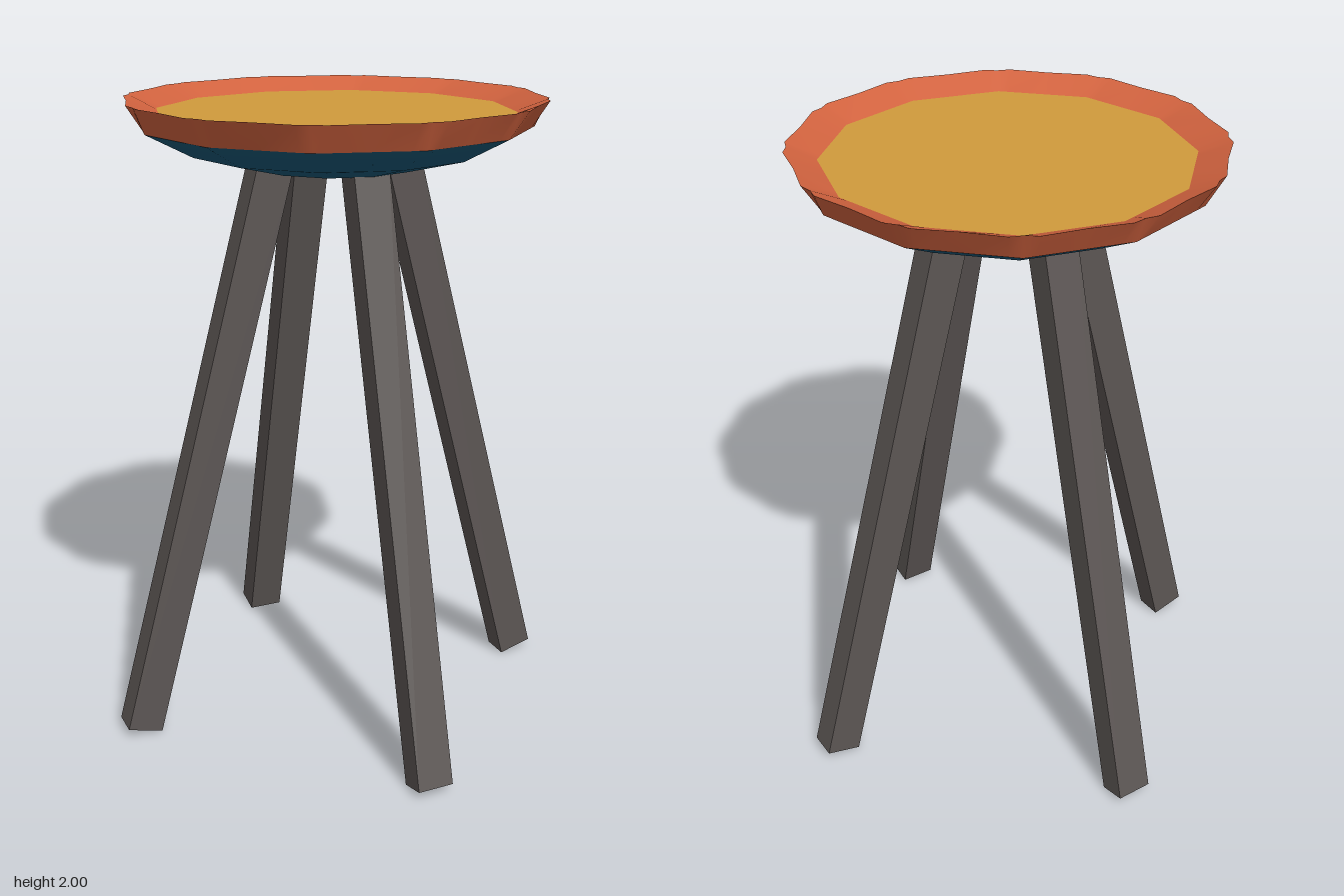
import * as THREE from 'three';
import { toCreasedNormals } from 'three/addons/utils/BufferGeometryUtils.js';

const SIDES = 12;
const SECTOR = (Math.PI * 2) / SIDES;

// Rim outline inside one sector: [angle in degrees, radius at the flared lip]
const LIP = [[0, 0.635], [3.6, 0.643], [15, 0.625], [26.4, 0.643]];

const paint = (name, color) => {
  const m = new THREE.MeshStandardMaterial({ color });
  m.name = name;
  return m;
};

function part(name, geometry, material) {
  const mesh = new THREE.Mesh(geometry, material);
  mesh.name = name;
  return mesh;
}

// Radius of a regular polygon at an angle within its sector
const polygonRadius = (r, a) => (r * Math.cos(SECTOR / 2)) / Math.cos(SECTOR / 2 - a);

// Flared ring: outer wall, lip and sloping inner wall
function rimGeometry() {
  const rings = [[], [], []];
  for (let s = 0; s < SIDES; s++) {
    for (const [deg, lip] of LIP) {
      const local = THREE.MathUtils.degToRad(deg);
      const a = s * SECTOR + local;
      const at = (r, y) => [r * Math.sin(a), y, r * Math.cos(a)];
      rings[0].push(at(polygonRadius(0.6, local), 1.92));
      rings[1].push(at(lip, 2));
      rings[2].push(at(polygonRadius(0.55, local), 1.96));
    }
  }
  const positions = [];
  const n = rings[0].length;
  for (let k = 0; k < 2; k++) {
    for (let i = 0; i < n; i++) {
      const j = (i + 1) % n;
      const [a, b, c, d] = [rings[k][i], rings[k][j], rings[k + 1][j], rings[k + 1][i]];
      positions.push(...a, ...b, ...c, ...a, ...c, ...d);
    }
  }
  const geometry = new THREE.BufferGeometry();
  geometry.setAttribute('position', new THREE.Float32BufferAttribute(positions, 3));
  return toCreasedNormals(geometry, 0.6);
}

export function createModel() {
  const model = new THREE.Group();
  model.name = 'stool';

  const orange = paint('burnt orange', 0xd2633f);
  const ochre = paint('ochre', 0xd09b3c);
  const blue = paint('deep blue', 0x1a5a7a);
  const grey = paint('warm grey', 0x5c5654);

  // Seat: rim, flat top and rounded underside
  const seat = new THREE.Group();
  seat.name = 'seat';
  seat.add(part('seatRim', rimGeometry(), orange));

  const top = part('seatTop', new THREE.CircleGeometry(0.55, SIDES), ochre);
  top.rotation.x = -Math.PI / 2;
  top.position.y = 1.96;
  seat.add(top);

  const profile = [[0, 1.782], [0.26, 1.797], [0.455, 1.845], [0.6, 1.92]]
    .map(([x, y]) => new THREE.Vector2(x, y));
  seat.add(part('seatUnderside', new THREE.LatheGeometry(profile, SIDES), blue));
  model.add(seat);

  // Four splayed legs, wider along x than along z
  const length = 1.88;
  const tilt = THREE.MathUtils.degToRad(15);
  const legGeometry = new THREE.BoxGeometry(0.115, length, 0.09);
  const spread = 0.695 - (Math.sin(tilt) * length) / 2;
  const height = 0.014 + (Math.cos(tilt) * length) / 2;
  const legs = [['leftLeg', 1, 0], ['rightLeg', -1, 0], ['frontLeg', 0, 1], ['backLeg', 0, -1]];
  for (const [name, x, z] of legs) {
    const leg = part(name, legGeometry, grey);
    leg.position.set(x * spread, height, z * spread);
    leg.rotation.set(-z * tilt, 0, x * tilt);
    model.add(leg);
  }

  return model;
}
